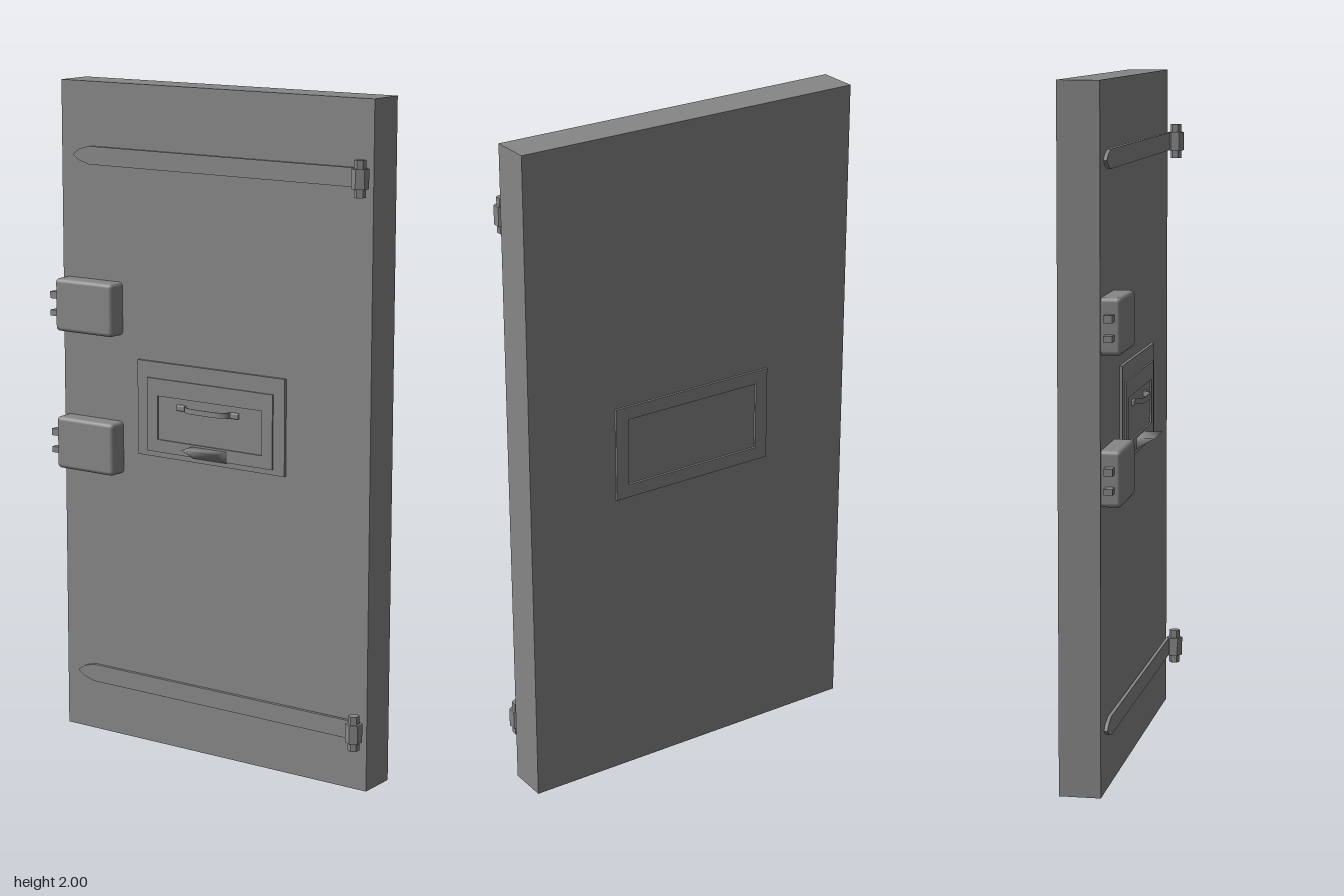
import * as THREE from 'three';
import { RoundedBoxGeometry } from 'three/addons/geometries/RoundedBoxGeometry.js';
import { mergeVertices } from 'three/addons/utils/BufferGeometryUtils.js';

const steel = new THREE.MeshStandardMaterial({ color: 0x878787 });
const flatSteel = new THREE.MeshStandardMaterial({ color: 0x878787, flatShading: true });
const FACE = 0.029; // front face of the door leaf
const BACK = -0.091;

const points = (list) => list.map(([x, y]) => new THREE.Vector2(x, y));
const corners = (x0, y0, x1, y1) => points([[x0, y0], [x1, y0], [x1, y1], [x0, y1]]);
const extrude = (shape, depth) => new THREE.ExtrudeGeometry(shape, { depth, bevelEnabled: false });

// Rectangular plate with a rectangular opening
function frameGeometry(outer, inner, depth) {
  const shape = new THREE.Shape(corners(...outer));
  shape.holes.push(new THREE.Path(corners(...inner)));
  return extrude(shape, depth);
}

export function createModel() {
  const door = new THREE.Group();
  door.name = 'door';

  function addGroup(name, y = 0) {
    const group = new THREE.Group();
    group.name = name;
    group.position.y = y;
    door.add(group);
    return group;
  }
  function add(parent, name, geometry, x = 0, y = 0, z = 0, material = steel) {
    const mesh = new THREE.Mesh(geometry, material);
    mesh.name = name;
    mesh.position.set(x, y, z);
    parent.add(mesh);
    return mesh;
  }
  // Box given by its minimum and maximum corners
  function addBox(parent, name, [x0, y0, z0], [x1, y1, z1]) {
    add(parent, name, new THREE.BoxGeometry(x1 - x0, y1 - y0, z1 - z0),
      (x0 + x1) / 2, (y0 + y1) / 2, (z0 + z1) / 2);
  }

  // Door leaf
  addBox(door, 'doorLeaf', [-0.537, 0, BACK], [0.557, 2, FACE]);

  // Strap hinges: pointed strap with a knuckle and a pin at its end
  for (const [name, y] of [['lowerHinge', 0.182], ['upperHinge', 1.782]]) {
    const hinge = addGroup(name, y);
    const outline = new THREE.Shape(points([
      [-0.49, 0], [-0.465, -0.017], [-0.43, -0.027], [0.525, -0.027],
      [0.525, 0.027], [-0.43, 0.027], [-0.465, 0.017],
    ]));
    const strap = extrude(outline, 0.01);
    // The strap lifts slightly off the leaf towards the knuckle
    const p = strap.attributes.position;
    for (let i = 0; i < p.count; i++) {
      p.setZ(i, FACE + p.getZ(i) + (p.getX(i) + 0.49) * 0.005);
    }
    add(hinge, 'hingeStrap', strap, 0, 0, 0, flatSteel);
    add(hinge, 'hingeKnuckle', new THREE.CylinderGeometry(0.025, 0.025, 0.056, 6), 0.532, 0, 0.06, flatSteel);
    add(hinge, 'hingePin', new THREE.CylinderGeometry(0.017, 0.017, 0.104, 6), 0.532, 0, 0.06, flatSteel);
  }

  // Lock cases with two bolts each
  for (const [name, y] of [['lowerLock', 0.908], ['upperLock', 1.331]]) {
    const lock = addGroup(name, y);
    add(lock, 'lockCase', new RoundedBoxGeometry(0.213, 0.16, 0.08, 3, 0.013), -0.4215, 0, 0.046);
    addBox(lock, 'upperBolt', [-0.56, 0.014, 0.042], [-0.5, 0.035, 0.067]);
    addBox(lock, 'lowerBolt', [-0.56, -0.039, 0.042], [-0.5, -0.021, 0.067]);
  }

  // Hatch: base plate and raised, shallowly panelled shutter on the front
  const hatch = addGroup('hatch');
  const outer = [-0.254, 0.899, 0.272, 1.186];
  addBox(hatch, 'hatchPlate', [-0.254, 0.899, 0.01], [0.272, 1.186, 0.038]);
  add(hatch, 'hatchShutter',
    frameGeometry([-0.215, 0.915, 0.233, 1.137], [-0.178, 0.953, 0.196, 1.085], 0.008), 0, 0, 0.035);

  // Recessed frame on the back
  add(hatch, 'backFrame',
    frameGeometry(outer, [-0.214, 0.939, 0.232, 1.146], 0.008), 0, 0, BACK - 0.007);

  // Handle: a thin bowed strip with a pad at each end
  const strip = new THREE.CatmullRomCurve3([
    [-0.08, 0.036], [-0.072, 0.053], [-0.05, 0.065], [0.003, 0.067],
    [0.056, 0.065], [0.078, 0.053], [0.086, 0.036],
  ].map(([x, z]) => new THREE.Vector3(x, z, 0))).getPoints(24);
  const bow = new THREE.Shape([
    ...strip.map((v) => new THREE.Vector2(v.x, -v.y)),
    ...strip.reverse().map((v) => new THREE.Vector2(0.003 + (v.x - 0.003) * 0.96, 0.003 - v.y)),
  ]);
  const bowGeometry = extrude(bow, 0.016);
  bowGeometry.rotateX(-Math.PI / 2);
  add(hatch, 'handleBow', bowGeometry, 0, 1.05, 0);
  for (const x of [-0.093, 0.099]) {
    add(hatch, 'handlePad', new RoundedBoxGeometry(0.03, 0.018, 0.012, 2, 0.004), x, 1.058, 0.04);
  }

  // Wedge-shaped ledge below the handle, softly shaded
  const wedge = new THREE.Shape(points([[-0.036, 0.91], [-0.036, 0.947], [-0.098, 0.947]]));
  const wedgeGeometry = extrude(wedge, 0.122);
  wedgeGeometry.rotateY(Math.PI / 2);
  wedgeGeometry.deleteAttribute('normal');
  wedgeGeometry.deleteAttribute('uv');
  const ledge = mergeVertices(wedgeGeometry);
  ledge.computeVertexNormals();
  add(hatch, 'ledge', ledge, -0.052, 0, 0);

  return door;
}
